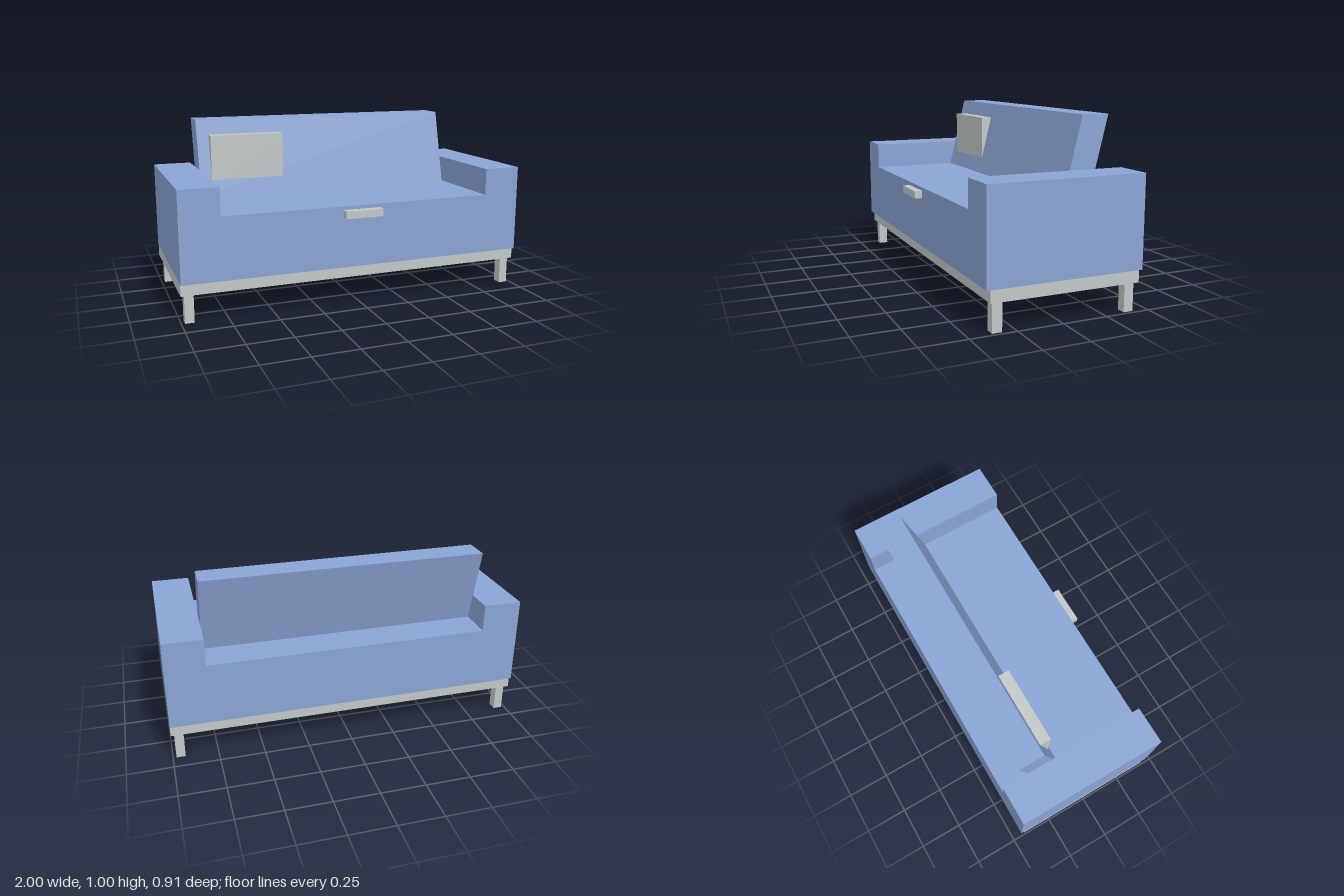
import * as THREE from 'three';

const fabric = new THREE.MeshStandardMaterial({ color: 0x8aa4d4 });
fabric.name = 'blueFabric';
const grey = new THREE.MeshStandardMaterial({ color: 0xc0c8c6 });
grey.name = 'paleGrey';

// Box given by its minimum and maximum corners
function box(name, material, [x0, y0, z0], [x1, y1, z1]) {
  const mesh = new THREE.Mesh(new THREE.BoxGeometry(x1 - x0, y1 - y0, z1 - z0), material);
  mesh.position.set((x0 + x1) / 2, (y0 + y1) / 2, (z0 + z1) / 2);
  mesh.name = name;
  return mesh;
}

// Straight extrusion of a 2D outline, without bevels
function extrude(points, depth) {
  const shape = new THREE.Shape(points.map(([x, y]) => new THREE.Vector2(x, y)));
  return new THREE.ExtrudeGeometry(shape, { depth, bevelEnabled: false });
}

export function createModel() {
  const sofa = new THREE.Group();
  sofa.name = 'sofa';

  // Seat and both armrests as one U-shaped block
  const body = new THREE.Mesh(extrude([
    [-1, 0.22], [1, 0.22], [1, 0.718], [0.783, 0.718],
    [0.783, 0.565], [-0.783, 0.565], [-0.783, 0.718], [-1, 0.718],
  ], 0.868), fabric);
  body.position.z = -0.455;
  body.name = 'seatAndArmrests';
  sofa.add(body);

  // Leaning backrest: side outline in (z, y), extruded along x
  const backGeometry = extrude([
    [-0.107, 0.565], [-0.215, 1], [-0.367, 1], [-0.259, 0.565],
  ].map(([z, y]) => [-z, y]), 1.566);
  backGeometry.rotateY(Math.PI / 2).translate(-0.783, 0, 0);
  const backrest = new THREE.Mesh(backGeometry, fabric);
  backrest.name = 'backrest';
  sofa.add(backrest);

  // Cushion partly sunk into the backrest
  sofa.add(box('cushion', grey, [-0.715, 0.645, -0.22], [-0.285, 0.915, -0.13]));

  // Front handle
  sofa.add(box('frontHandle', grey, [-0.11, 0.503, 0.405], [0.11, 0.545, 0.456]));

  // Base frame under the body
  sofa.add(box('baseFrame', grey, [-1, 0.155, -0.435], [1, 0.22, 0.392]));

  // Four legs
  for (const side of [-1, 1]) {
    for (const [end, z] of [['front', 0.35], ['back', -0.39]]) {
      const x = side * 0.956;
      const name = end + (side > 0 ? 'Left' : 'Right') + 'Leg';
      sofa.add(box(name, grey, [x - 0.025, 0, z - 0.027], [x + 0.025, 0.155, z + 0.027]));
    }
  }

  return sofa;
}
